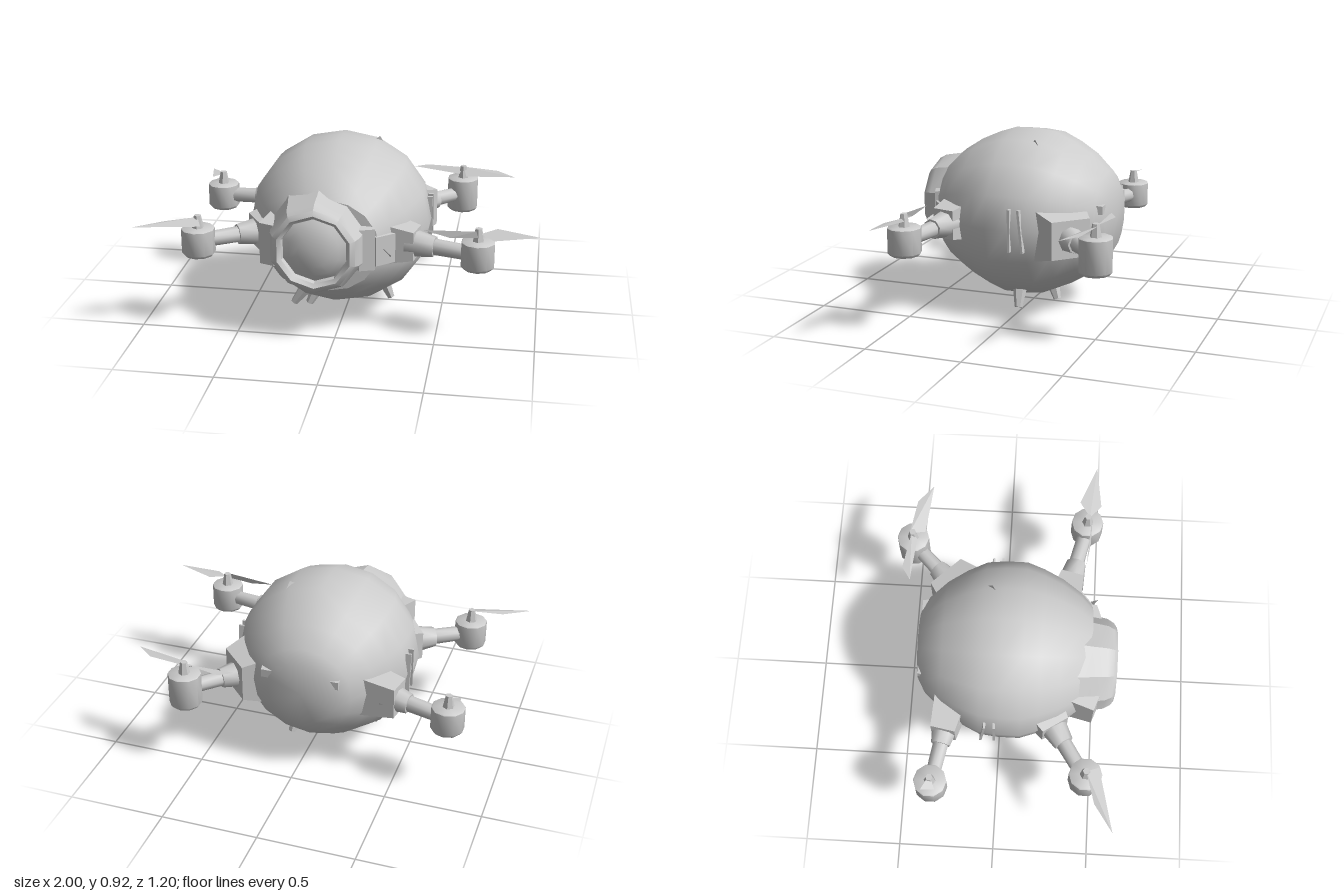
import * as THREE from 'three';
import { toCreasedNormals } from 'three/addons/utils/BufferGeometryUtils.js';

const grey = new THREE.MeshStandardMaterial({ color: 0xcccccc });
const thin = new THREE.MeshStandardMaterial({ color: 0xcccccc, side: THREE.DoubleSide, flatShading: true });
const V = (a) => new THREE.Vector3(...a);

function add(parent, name, geometry, pos = [0, 0, 0], crease = 0.6, material = grey) {
  const mesh = new THREE.Mesh(toCreasedNormals(geometry, crease), material);
  mesh.name = name;
  mesh.position.set(...pos);
  parent.add(mesh);
  return mesh;
}

// profile of [radius, z] pairs turned around the z axis
function turned(profile, sides) {
  return new THREE.LatheGeometry(profile.map(([r, z]) => new THREE.Vector2(r, z)), sides).rotateX(Math.PI / 2);
}

// tapered rod between two points
function rod(parent, name, from, to, r0, r1, sides = 8) {
  const a = V(from), d = V(to).sub(a);
  const geo = new THREE.CylinderGeometry(r1, r0, d.length(), sides);
  const mesh = add(parent, name, geo, a.clone().addScaledVector(d, 0.5).toArray(), 0.9);
  mesh.quaternion.setFromUnitVectors(new THREE.Vector3(0, 1, 0), d.normalize());
  return mesh;
}

// thin fan of triangles through a few corners
function sheet(parent, name, corners) {
  const pts = [];
  for (let i = 1; i < corners.length - 1; i++) pts.push(...corners[0], ...corners[i], ...corners[i + 1]);
  const geo = new THREE.BufferGeometry();
  geo.setAttribute('position', new THREE.Float32BufferAttribute(pts, 3));
  geo.computeVertexNormals();
  const mesh = new THREE.Mesh(geo, thin);
  mesh.name = name;
  parent.add(mesh);
}

// box narrowing towards its outer (+z) face
function wedge(w, h, d, taper) {
  const geo = new THREE.BoxGeometry(w, h, d);
  const p = geo.attributes.position;
  for (let i = 0; i < p.count; i++)
    if (p.getZ(i) > 0) p.setXY(i, p.getX(i) * taper, p.getY(i) * taper);
  geo.computeVertexNormals();
  return geo;
}

const ARMS = [
  { name: 'frontLeft', mount: [0.33, 0.485, 0.335], motor: [0.7, 0.42], low: 0.4, high: 0.545, size: [0.16, 0.2, 0.13],
    blades: [
      [[0.71, 0.585, 0.43], [0.79, 0.595, 0.375], [1.0, 0.595, 0.46], [0.78, 0.575, 0.49]],
      [[0.69, 0.6, 0.44], [0.43, 0.585, 0.42], [0.56, 0.56, 0.44], [0.7, 0.57, 0.445]]] },
  { name: 'frontRight', mount: [-0.4, 0.475, 0.26], motor: [-0.7, 0.455], low: 0.4, high: 0.545, size: [0.2, 0.2, 0.12],
    blades: [[[-0.7, 0.6, 0.455], [-0.86, 0.585, 0.5], [-1.0, 0.58, 0.595], [-0.67, 0.575, 0.52]]] },
  { name: 'backLeft', mount: [0.32, 0.46, -0.28], motor: [0.56, -0.515], low: 0.36, high: 0.545, size: [0.28, 0.26, 0.13],
    blades: [
      [[0.56, 0.6, -0.52], [0.36, 0.595, -0.555], [0.29, 0.595, -0.51], [0.54, 0.57, -0.49]],
      [[0.56, 0.6, -0.53], [0.75, 0.595, -0.5], [0.845, 0.59, -0.42], [0.58, 0.57, -0.45]]] },
  { name: 'backRight', mount: [-0.41, 0.465, -0.265], motor: [-0.765, -0.33], low: 0.365, high: 0.505, size: [0.17, 0.22, 0.19],
    blades: [[[-0.75, 0.56, -0.33], [-0.83, 0.57, -0.37], [-0.82, 0.545, -0.3]]] },
];

function buildArm({ name, mount, motor, low, high, size, blades }) {
  const arm = new THREE.Group();
  arm.name = name + 'Arm';
  const [mx, mz] = motor, y = (low + high) / 2;
  const end = [mx, y, mz];
  const at = (t) => V(mount).lerp(V(end), t).toArray();
  const block = add(arm, 'armMount', wedge(...size, 0.75), mount, 0.3);
  block.rotation.y = Math.atan2(mx - mount[0], mz - mount[2]);
  rod(arm, 'armSocket', at(0.05), at(0.42), 0.075, 0.052);
  rod(arm, 'armTube', at(0.3), end, 0.042, 0.038);
  // motor can with a shallow bevel underneath
  const r = 0.085;
  const can = [[0, low], [r * 0.85, low], [r, low + 0.015], [r, high - 0.005], [r * 0.92, high], [0, high]];
  add(arm, 'motor', new THREE.LatheGeometry(can.map((p) => new THREE.Vector2(...p)), 10), [mx, 0, mz], 0.7);
  rod(arm, 'rotorShaft', [mx, high, mz], [mx, high + 0.065, mz], 0.03, 0.018, 6);
  blades.forEach((corners) => sheet(arm, 'rotorBlade', corners));
  return arm;
}

export function createModel() {
  const model = new THREE.Group();
  model.name = 'sphericalDrone';

  // faceted round hull with a flattened back
  const hull = turned([[0, -0.445], [0.17, -0.435], [0.24, -0.395], [0.325, -0.3], [0.385, -0.2], [0.43, -0.1],
    [0.44, 0], [0.44, 0.11], [0.41, 0.2], [0.365, 0.3], [0.3, 0.4], [0.24, 0.46], [0, 0.47]], 16);
  add(model, 'hull', hull, [-0.035, 0.487, 0], 0.55).scale.x = 1.06;

  // hooded eye on the front
  const eye = new THREE.Group();
  eye.name = 'eye';
  eye.position.set(-0.09, 0.5, 0);
  add(eye, 'eyeHood', turned([[0.27, 0.38], [0.25, 0.46], [0.235, 0.54], [0.215, 0.575], [0.19, 0.592],
    [0.17, 0.575], [0.165, 0.54]], 10), [0, 0, 0], 0.5);
  add(eye, 'lens', turned([[0.17, 0.545], [0.13, 0.57], [0.08, 0.588], [0, 0.595]], 10), [0, 0, 0], 0.6);
  for (const s of [-1, 1]) {
    const cheek = add(eye, 'eyeCheek', wedge(0.1, 0.27, 0.16, 0.8), [s * 0.225, -0.01, 0.42], 0.3);
    cheek.rotation.y = s * 0.35;
  }
  model.add(eye);

  // panel between the eye and the left arm
  const panel = add(model, 'frontPanel', wedge(0.16, 0.18, 0.08, 0.85), [0.23, 0.475, 0.4], 0.3);
  panel.rotation.y = 0.7;
  sheet(model, 'panelSpike', [[0.21, 0.51, 0.45], [0.28, 0.47, 0.495], [0.27, 0.43, 0.42]]);

  ARMS.forEach((arm) => model.add(buildArm(arm)));

  // short feet and small nubs beneath
  rod(model, 'foot', [-0.22, 0.1, 0.125], [-0.28, 0.015, 0.13], 0.035, 0.02, 6);
  rod(model, 'foot', [0.19, 0.11, 0.01], [0.225, 0.025, 0.005], 0.035, 0.02, 6);
  rod(model, 'underNub', [-0.15, 0.12, 0.21], [-0.18, 0.06, 0.22], 0.03, 0.02, 6);
  rod(model, 'underNub', [0.1, 0.11, -0.15], [0.11, 0.055, -0.17], 0.03, 0.02, 6);

  // raised slats on the flanks
  for (const s of [-1, 1])
    for (const z of [-0.02, -0.08]) {
      const slat = add(model, 'sideSlat', new THREE.BoxGeometry(0.03, 0.22, 0.012), [-0.035 + s * 0.455, 0.49, z], 0.3);
      slat.rotation.x = z < -0.05 ? 0.1 : 0;
    }

  // small lugs along the back and a fin on the crown
  for (const x of [-0.2, 0.15])
    add(model, 'backLug', wedge(0.08, 0.06, 0.08, 0.7), [x, 0.57, -0.39], 0.3).rotation.y = Math.PI;
  sheet(model, 'crownFin', [[0.1, 0.87, -0.02], [0.15, 0.905, -0.06], [0.17, 0.85, -0.1]]);
  return model;
}
